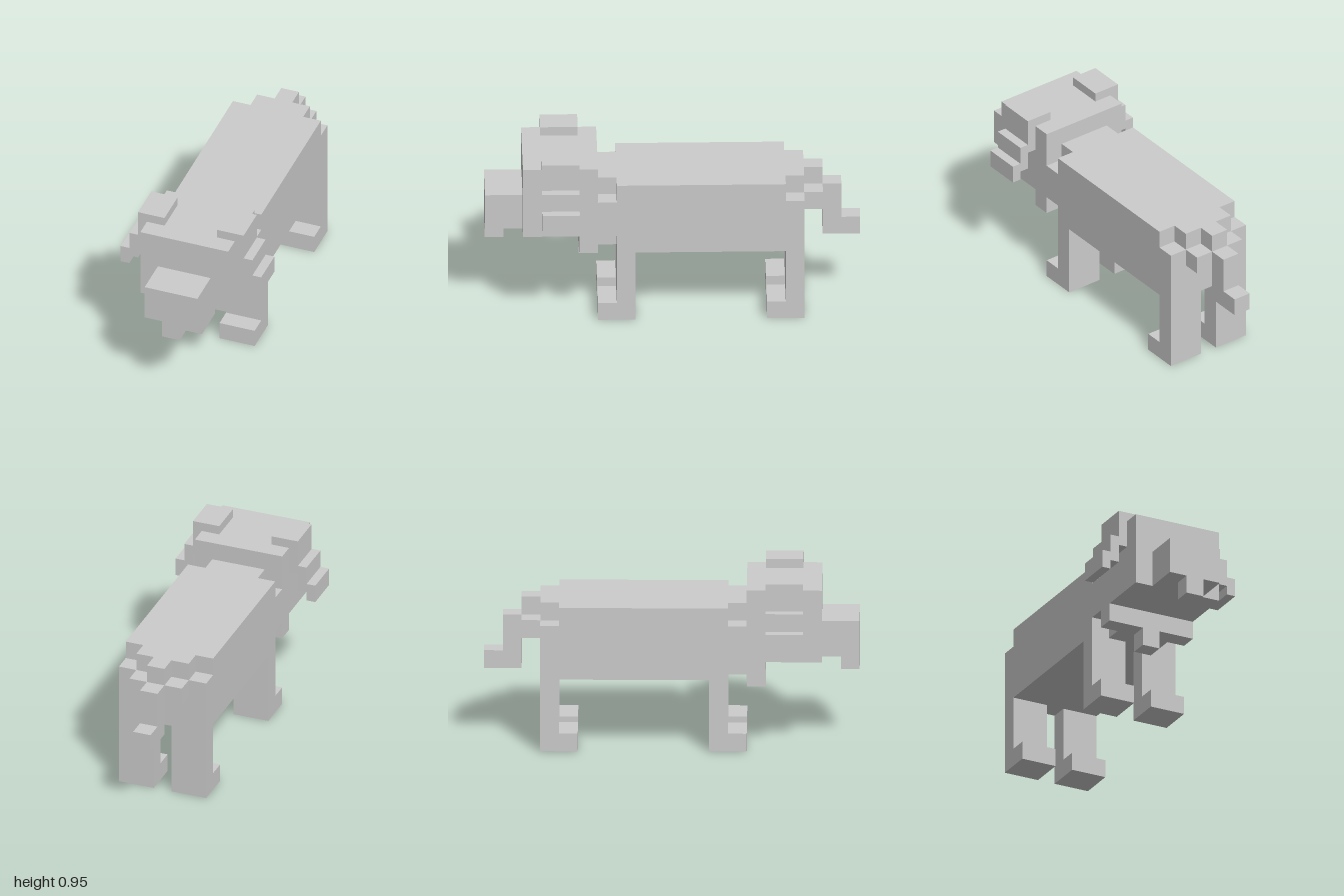
import * as THREE from 'three';

const material = new THREE.MeshStandardMaterial({ color: 0xcccccc, flatShading: true });

// Box given by its minimum and maximum corners
function box(name, [x0, y0, z0], [x1, y1, z1]) {
  const geometry = new THREE.BoxGeometry(x1 - x0, y1 - y0, z1 - z0);
  geometry.translate((x0 + x1) / 2, (y0 + y1) / 2, (z0 + z1) / 2);
  const mesh = new THREE.Mesh(geometry, material);
  mesh.name = name;
  return mesh;
}

// Box centred on x = 0, given by its half width
const centred = (name, half, y0, y1, z0, z1) => box(name, [-half, y0, z0], [half, y1, z1]);

// Stepped outline extruded by a depth along z
function extrude(name, points, depth) {
  const shape = new THREE.Shape(points.map(([x, y]) => new THREE.Vector2(x, y)));
  const geometry = new THREE.ExtrudeGeometry(shape, { depth, bevelEnabled: false });
  const mesh = new THREE.Mesh(geometry, material);
  mesh.name = name;
  return mesh;
}

// Ear draped over the side of the head in steps
function ear(side) {
  const outline = [
    [0.15, 0.9], [0.25, 0.9], [0.25, 0.75], [0.3, 0.75], [0.3, 0.65], [0.35, 0.65],
    [0.35, 0.6], [0.4, 0.6], [0.4, 0.7], [0.35, 0.7], [0.35, 0.8], [0.3, 0.8],
    [0.3, 0.95], [0.15, 0.95],
  ].map(([x, y]) => [x * side, y]);
  const mesh = extrude(side > 0 ? 'leftEar' : 'rightEar', outline, 0.2);
  mesh.position.z = 0.5;
  return mesh;
}

// L-shaped leg with the paw pointing forward; z is the back of the leg
function leg(name, side, z) {
  const outline = [[0, 0], [0.2, 0], [0.2, 0.1], [0.1, 0.1], [0.1, 0.4], [0, 0.4]];
  const mesh = extrude(name, outline, 0.2);
  mesh.rotation.y = -Math.PI / 2; // outline x -> +z, depth -> -x
  mesh.position.set(side > 0 ? 0.25 : -0.05, 0, z);
  return mesh;
}

export function createModel() {
  const model = new THREE.Group();
  model.name = 'dog';

  // Torso, stepped in at the rump
  model.add(
    centred('torso', 0.25, 0.4, 0.8, -0.6, 0.3),
    centred('rump', 0.25, 0.4, 0.7, -0.7, -0.6),
    centred('rumpTop', 0.15, 0.7, 0.8, -0.7, -0.6),
  );

  // Neck, with a cross-shaped section
  model.add(
    centred('neck', 0.25, 0.5, 0.7, 0.3, 0.4),
    centred('neckTop', 0.15, 0.7, 0.8, 0.3, 0.4),
    centred('neckUnderside', 0.15, 0.4, 0.5, 0.3, 0.4),
    centred('collar', 0.25, 0.4, 0.5, 0.4, 0.5),
    centred('collarTag', 0.05, 0.3, 0.4, 0.4, 0.5),
  );

  // Head
  model.add(
    centred('head', 0.25, 0.5, 0.9, 0.4, 0.8),
    centred('muzzle', 0.15, 0.5, 0.7, 0.8, 1),
    centred('tongue', 0.05, 0.4, 0.5, 0.9, 1),
  );

  // Tail
  model.add(
    centred('tailBase', 0.15, 0.6, 0.7, -0.8, -0.7),
    centred('tailBaseTop', 0.05, 0.7, 0.8, -0.8, -0.7),
    centred('tail', 0.05, 0.4, 0.7, -0.9, -0.8),
    centred('tailTip', 0.05, 0.4, 0.5, -1, -0.9),
  );

  // Ears and legs on both sides
  for (const side of [1, -1]) {
    const label = side > 0 ? 'Left' : 'Right';
    model.add(ear(side), leg(`front${label}Leg`, side, 0.2), leg(`hind${label}Leg`, side, -0.7));
  }

  return model;
}
